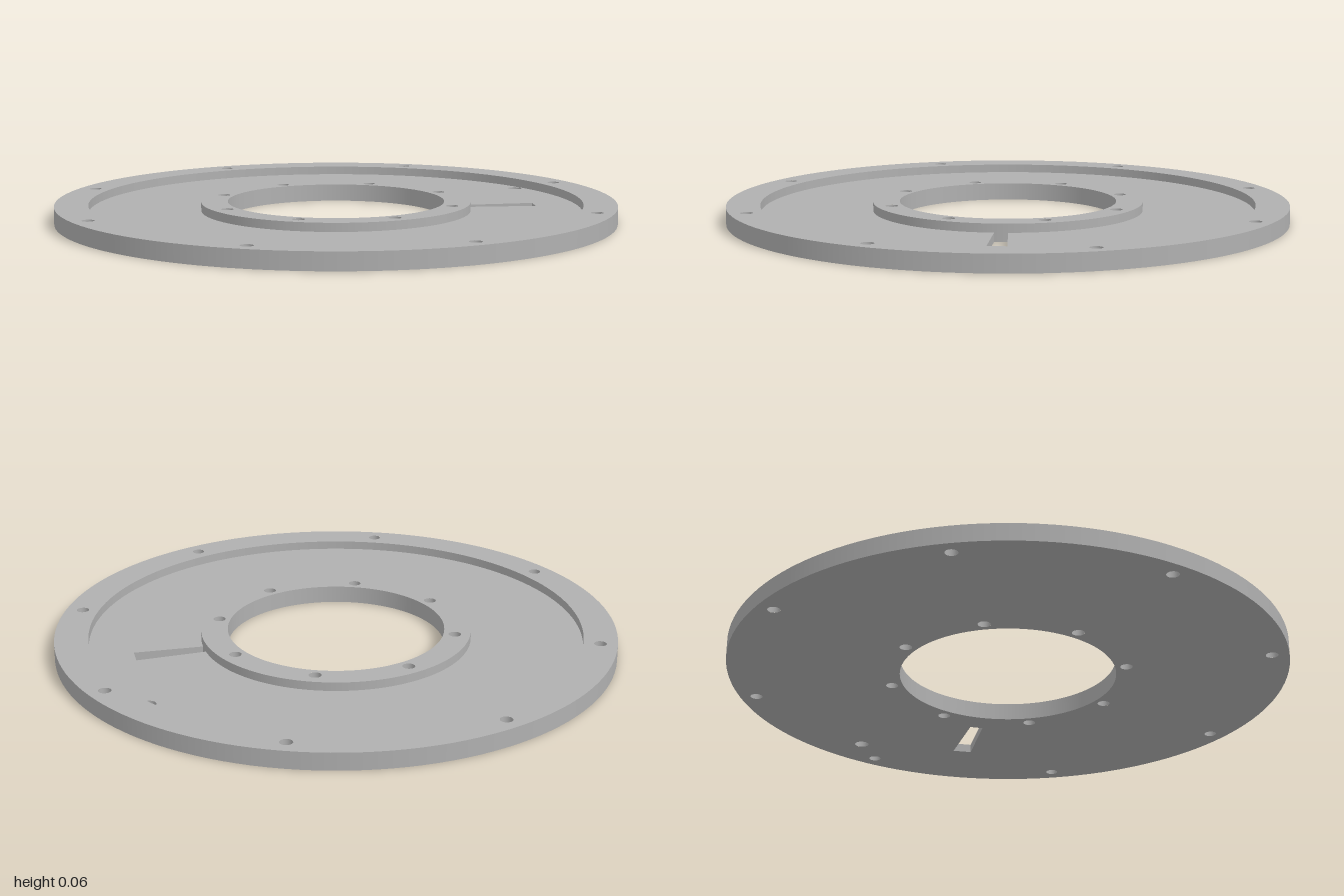
import * as THREE from 'three';

const H = 0.062, FLOOR = 0.031;                                 // full height, recess floor height
const BORE = 0.387, HUB = 0.482, RIM = 0.88, OUTER = 1;         // radii
const SLOT_END = 0.727, SLOT_WIDE = 0.068, SLOT_ANGLE = 0.0977; // tapered slot

export function createModel() {
  const group = new THREE.Group();
  const metal = new THREE.MeshStandardMaterial({ color: 0xb0b0b0 });
  const add = (name, geometry) => {
    const mesh = new THREE.Mesh(geometry, metal);
    mesh.name = name;
    group.add(mesh);
    return mesh;
  };

  const circle = (r, x = 0, y = 0) => new THREE.Path().absarc(x, y, r, 0, Math.PI * 2, false);
  // Flat plate face with cut-outs, facing up or down
  const face = (name, r, holes, y, down = false) => {
    const shape = new THREE.Shape().absarc(0, 0, r, 0, Math.PI * 2, false);
    shape.holes.push(...holes);
    const g = new THREE.ShapeGeometry(shape, 64).rotateX(-Math.PI / 2).translate(0, y, 0);
    if (down) {
      g.setIndex(Array.from(g.index.array).reverse());
      g.computeVertexNormals();
    }
    add(name, g);
  };
  // Round wall, facing outward or inward
  const wall = (name, r, y0, y1, inward = false, segments = 128) => {
    const pts = [new THREE.Vector2(r, y0), new THREE.Vector2(r, y1)];
    return add(name, new THREE.LatheGeometry(inward ? pts.reverse() : pts, segments));
  };

  // Bolt circles and the drain hole beside the rim
  const bolts = (radius) => Array.from({ length: 8 }, (_, i) => {
    const a = (i + 0.5) * Math.PI / 4;
    return { x: radius * Math.cos(a), y: radius * Math.sin(a), r: 0.022, top: H };
  });
  const rimBolts = bolts(0.939), hubBolts = bolts(0.427);
  const drain = { x: 0.733, y: 0.43, r: 0.026, top: FLOOR };
  const cut = (h) => circle(h.r, h.x, h.y);

  // Slot outline, and the floor's inner edge with the slot opening into it
  const ix = HUB * Math.cos(SLOT_ANGLE), iy = HUB * Math.sin(SLOT_ANGLE);
  const slotStart = () => new THREE.Path().moveTo(HUB, 0).lineTo(SLOT_END, 0)
    .lineTo(SLOT_END, SLOT_WIDE).lineTo(ix, iy);
  const slot = slotStart().absarc(0, 0, HUB, SLOT_ANGLE, 0, true);
  const floorEdge = slotStart().absarc(0, 0, HUB, SLOT_ANGLE, Math.PI * 2, false);

  // Plate faces
  face('rimTop', OUTER, [circle(RIM), ...rimBolts.map(cut)], H);
  face('recessFloor', RIM, [floorEdge, cut(drain)], FLOOR);
  face('hubTop', HUB, [circle(BORE), ...hubBolts.map(cut)], H);
  face('underside', OUTER,
    [circle(BORE), slot, cut(drain), ...rimBolts.map(cut), ...hubBolts.map(cut)], 0, true);

  // Ring walls; the hub wall runs down to close the inner end of the slot
  wall('outerWall', OUTER, 0, H);
  wall('rimInnerWall', RIM, FLOOR, H, true);
  wall('hubWall', HUB, 0, H);
  wall('boreWall', BORE, 0, H, true);
  for (const h of [...rimBolts, ...hubBolts, drain]) {
    wall('holeWall', h.r, 0, h.top, true, 24).position.set(h.x, 0, -h.y);
  }

  // Slot walls
  const corners = [[ix, -iy], [SLOT_END, -SLOT_WIDE], [SLOT_END, 0], [HUB, 0]];
  for (let i = 0; i < 3; i++) {
    const [[px, pz], [qx, qz]] = [corners[i], corners[i + 1]];
    add('slotWall', new THREE.PlaneGeometry(Math.hypot(qx - px, qz - pz), FLOOR)
      .rotateY(Math.atan2(pz - qz, qx - px))
      .translate((px + qx) / 2, FLOOR / 2, (pz + qz) / 2));
  }
  return group;
}
